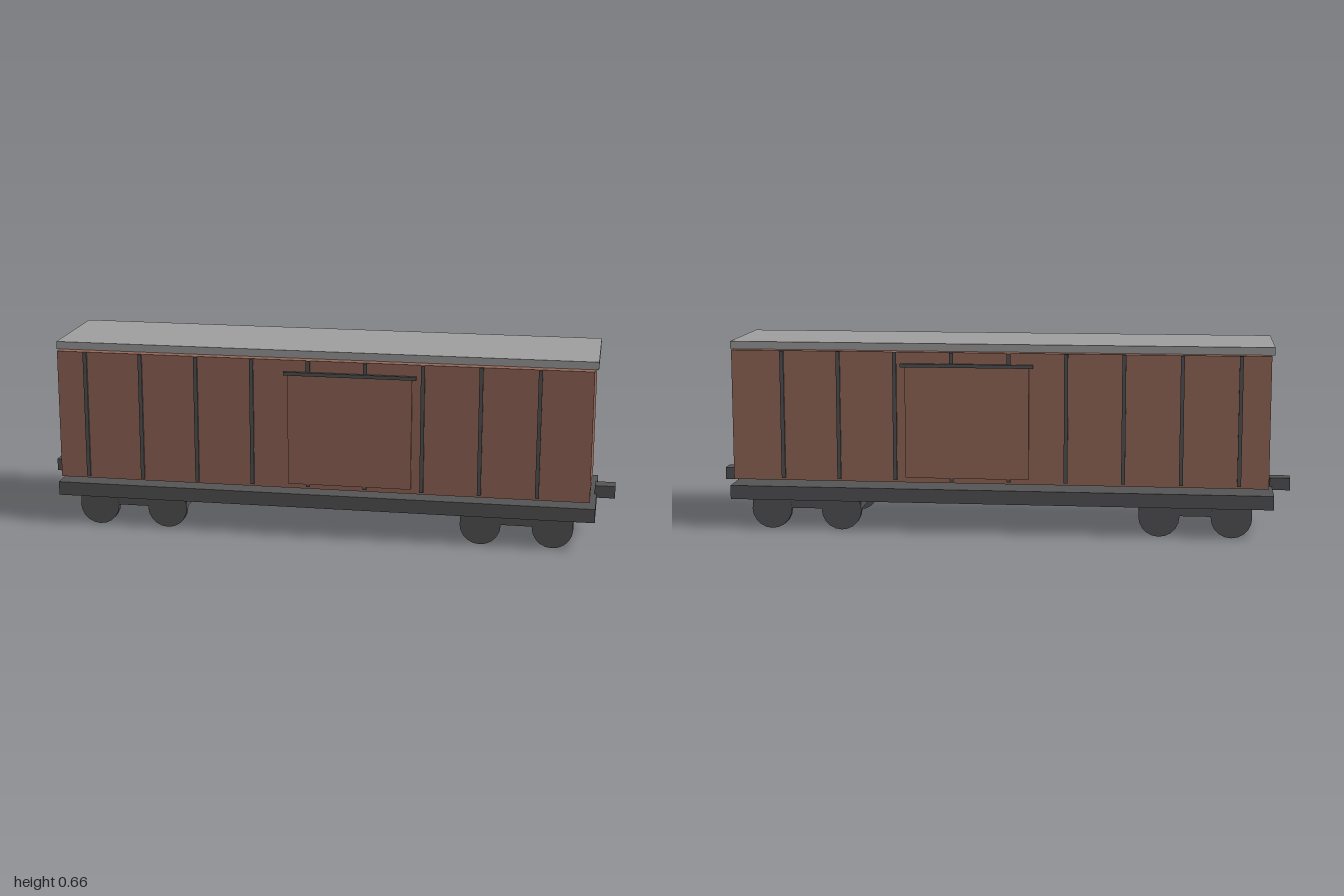
import * as THREE from 'three';

export function createModel() {
  const model = new THREE.Group();
  model.name = 'boxcar';

  const mat = (name, color) => {
    const m = new THREE.MeshStandardMaterial({ color });
    m.name = name;
    return m;
  };
  const brown = mat('rust brown', 0x96695a);
  const grey = mat('roof grey', 0xa0a0a0);
  const dark = mat('dark iron', 0x555557);

  // Box given by its limits on each axis
  const box = (name, material, [x0, x1], [y0, y1], [z0, z1], parent = model) => {
    const mesh = new THREE.Mesh(new THREE.BoxGeometry(x1 - x0, y1 - y0, z1 - z0), material);
    mesh.position.set((x0 + x1) / 2, (y0 + y1) / 2, (z0 + z1) / 2);
    mesh.name = name;
    parent.add(mesh);
    return mesh;
  };

  // Body, roof and underframe
  box('body', brown, [-0.918, 0.918], [0.18, 0.63], [-0.22, 0.22]);
  box('roof', grey, [-0.93, 0.93], [0.63, 0.656], [-0.187, 0.187]);
  box('underframe', dark, [-0.937, 0.937], [0.105, 0.153], [-0.203, 0.203]);

  // Sides: ribs, sliding door and door rail
  for (const side of [1, -1]) {
    const span = (a, b) => (side > 0 ? [a, b] : [-b, -a]);
    for (let i = 0; i < 9; i++) {
      const x = -0.818 + i * 0.195;
      box('rib', dark, [x - 0.0065, x + 0.0065], [0.188, 0.629], span(0.215, 0.227));
    }
    box('door', brown, [-0.107, 0.316], [0.198, 0.59], span(0.215, 0.23));
    box('doorRail', dark, [-0.121, 0.331], [0.58, 0.592], span(0.226, 0.2375));
  }

  // Couplers
  box('coupler', dark, [0.93, 1], [0.14, 0.183], [-0.026, 0.026]);
  box('coupler', dark, [-1, -0.93], [0.14, 0.183], [-0.026, 0.026]);

  // Trucks with four wheels each
  const wheelGeometry = new THREE.CylinderGeometry(0.07, 0.07, 0.021, 20).rotateX(Math.PI / 2);
  for (const cx of [-0.673, 0.673]) {
    const truck = new THREE.Group();
    truck.name = 'truck';
    model.add(truck);
    box('truckFrame', dark, [cx - 0.192, cx + 0.192], [0.073, 0.106], [-0.179, 0.179], truck);
    for (const dx of [-0.123, 0.123]) {
      for (const z of [-0.1695, 0.1695]) {
        const wheel = new THREE.Mesh(wheelGeometry, dark);
        wheel.name = 'wheel';
        wheel.position.set(cx + dx, 0.07, z);
        truck.add(wheel);
      }
    }
  }

  return model;
}
